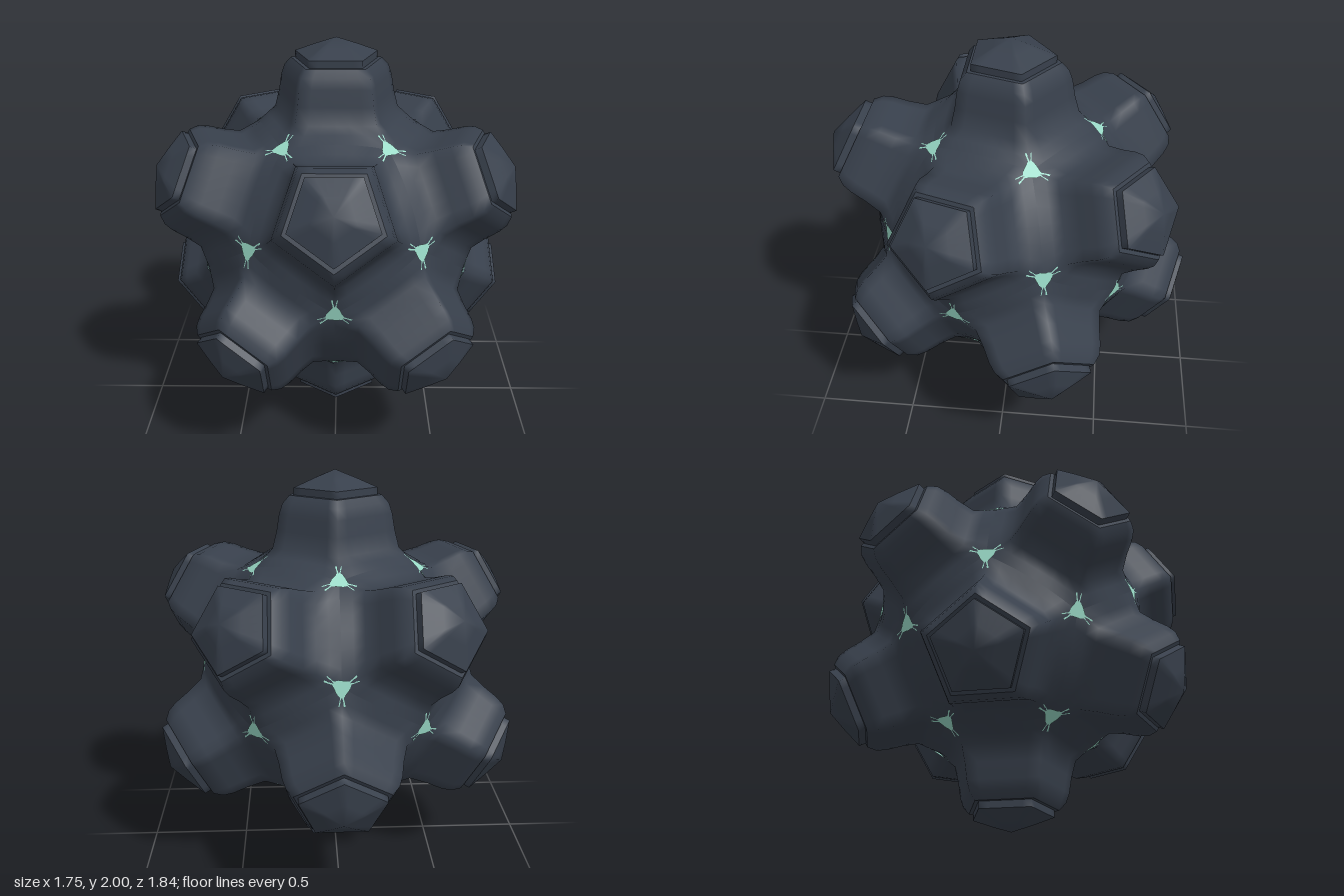
import * as THREE from 'three';
import { mergeGeometries, mergeVertices } from 'three/addons/utils/BufferGeometryUtils.js';

const TAU = Math.PI * 2;
const SEG = 6; // samples along each side of a pentagon
const FACE_R = 0.69; // distance of the valley corners from the centre

// Points round a pentagon [corner radius, height]; bulge rounds it onto the ball
function pentagon([r, h], onBall) {
  const pts = [];
  for (let i = 0; i < 5; i++) {
    const a = Math.PI + i * TAU / 5, b = a + TAU / 5;
    for (let j = 0; j < SEG; j++) {
      const t = j / SEG;
      const p = new THREE.Vector3(Math.sin(a) * r, h, Math.cos(a) * r)
        .lerp(new THREE.Vector3(Math.sin(b) * r, h, Math.cos(b) * r), t);
      if (onBall) p.setLength(FACE_R - 0.01 * 4 * t * (1 - t));
      pts.push(p);
    }
  }
  return pts;
}

// Skin a stack of rings, listed from top to bottom
function loft(rings) {
  const n = rings[0].length, pos = [], idx = [];
  rings.forEach(r => r.forEach(p => pos.push(p.x, p.y, p.z)));
  for (let k = 0; k < rings.length - 1; k++) {
    for (let j = 0; j < n; j++) {
      const a = k * n + j, d = k * n + (j + 1) % n, b = a + n, c = d + n;
      idx.push(a, b, c, a, c, d);
    }
  }
  const g = new THREE.BufferGeometry();
  g.setAttribute('position', new THREE.Float32BufferAttribute(pos, 3));
  g.setIndex(idx);
  return g;
}

// The twelve tower frames: one on top, a ring of five, and the same turned over
function towerFrames() {
  const rx = a => new THREE.Matrix4().makeRotationX(a);
  const ry = a => new THREE.Matrix4().makeRotationY(a);
  const upper = [new THREE.Matrix4()];
  for (let k = 0; k < 5; k++) {
    upper.push(ry(k * TAU / 5).multiply(rx(Math.atan(2))).multiply(ry(Math.PI)));
  }
  return [...upper, ...upper.map(m => rx(Math.PI).multiply(m))];
}

// Copy one piece to every tower and weld it into a smooth surface
function onAllTowers(geo, frames) {
  const g = mergeVertices(mergeGeometries(frames.map(m => geo.clone().applyMatrix4(m))), 1e-4);
  g.computeVertexNormals();
  return g;
}

// Three-armed mark, one arm pointing up
function markGeometry() {
  const s = new THREE.Shape();
  const arm = [[-0.036, 0.008], [-0.008, 0.045], [-0.016, 0.085], [0.016, 0.085], [0.008, 0.045]];
  for (let k = 0; k < 3; k++) {
    const c = Math.cos(-k * TAU / 3), n = Math.sin(-k * TAU / 3);
    arm.forEach(([x, y], i) => {
      const px = x * c - y * n, py = x * n + y * c;
      if (k === 0 && i === 0) s.moveTo(px, py); else s.lineTo(px, py);
    });
  }
  s.closePath();
  return new THREE.ShapeGeometry(s);
}

export function createModel() {
  const model = new THREE.Group();
  const slate = new THREE.MeshStandardMaterial({ color: 0x38404c });
  slate.name = 'darkSlate';
  const mint = new THREE.MeshStandardMaterial({ color: 0x9adbc8, side: THREE.DoubleSide });
  mint.name = 'mint';

  const body = new THREE.Group();
  body.name = 'body';
  body.position.y = 1;
  model.add(body);
  const add = (name, geo, mat, parent = body) => {
    const m = new THREE.Mesh(geo, mat);
    m.name = name;
    parent.add(m);
    return m;
  };
  const frames = towerFrames();

  // Shell: tower walls flowing into the shared valleys
  const foot = pentagon([0.325, 0.635]);
  const valley = pentagon([0.419, 0.548], true);
  const middle = foot.map((p, i) => p.clone().lerp(valley[i], 0.5));
  const walls = [[0.235, 0.887], [0.27, 0.85], [0.288, 0.8], [0.302, 0.72]].map(p => pentagon(p));
  add('shell', onAllTowers(loft([...walls, foot, middle, valley]), frames), slate);

  // Flat rim, and the shallow pointed cap standing on it
  const strip = (...profile) => onAllTowers(loft(profile.map(p => pentagon(p))), frames);
  add('towerRims', strip([0.19, 0.887], [0.235, 0.887]), slate);
  add('capSides', strip([0.212, 0.922], [0.212, 0.885]), slate);
  add('capTops', strip([0, 1], [0.106, 0.963], [0.212, 0.922]), slate);

  // Marks where three towers meet
  const marks = new THREE.Group();
  marks.name = 'valleyMarks';
  body.add(marks);
  const mark = markGeometry();
  for (const flip of [0, Math.PI]) {
    const half = new THREE.Group();
    half.name = flip ? 'lowerMarks' : 'upperMarks';
    half.rotation.x = flip;
    marks.add(half);
    for (let k = 0; k < 5; k++) {
      for (const [elevation, spin] of [[52.62, 0], [10.81, Math.PI]]) {
        const m = add('valleyMark', mark, mint, half);
        m.rotation.set(-THREE.MathUtils.degToRad(elevation), (k + 0.5) * TAU / 5, spin, 'YXZ');
        m.position.set(0, 0, FACE_R + 0.004).applyEuler(m.rotation);
      }
    }
  }
  return model;
}
